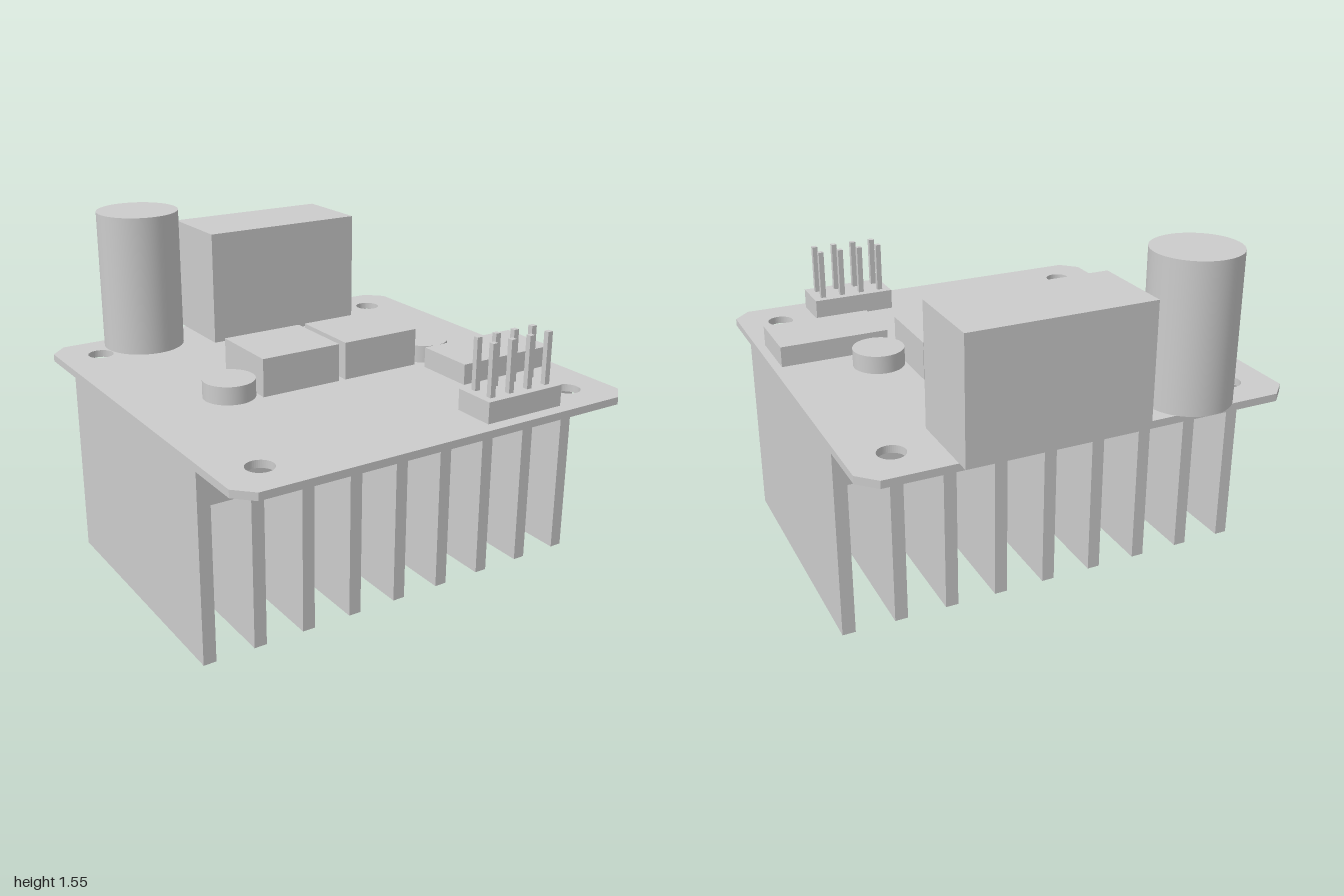
import * as THREE from 'three';

export function createModel() {
  const model = new THREE.Group();
  model.name = 'powerBoard';
  const grey = new THREE.MeshStandardMaterial({ color: 0xcccccc });
  grey.name = 'plainGrey';

  const BOARD_BOTTOM = 0.858, BOARD_TOP = 0.892;

  const add = (name, geometry, parent = model) => {
    const mesh = new THREE.Mesh(geometry, grey);
    mesh.name = name;
    parent.add(mesh);
    return mesh;
  };
  // Box given by its limits on each axis
  const box = (name, x0, x1, y0, y1, z0, z1, parent) =>
    add(name, new THREE.BoxGeometry(x1 - x0, y1 - y0, z1 - z0), parent)
      .position.set((x0 + x1) / 2, (y0 + y1) / 2, (z0 + z1) / 2);
  // Upright cylinder standing on the board
  const can = (name, x, z, r, top) =>
    add(name, new THREE.CylinderGeometry(r, r, top - BOARD_TOP, 48))
      .position.set(x, (BOARD_TOP + top) / 2, z);

  // Circuit board: chamfered outline with four mounting holes (shape y = -z)
  const W = 0.971, F = -1, B = 0.942, C = 0.078;
  const outline = new THREE.Shape([
    [-W + C, F], [W - C, F], [W, F + C], [W, B - C],
    [W - C, B], [-W + C, B], [-W, B - C], [-W, F + C],
  ].map(([x, y]) => new THREE.Vector2(x, y)));
  for (const x of [-0.777, 0.777]) {
    for (const y of [-0.805, 0.748]) {
      outline.holes.push(new THREE.Path().absarc(x, y, 0.06, 0, Math.PI * 2, true));
    }
  }
  const board = new THREE.ExtrudeGeometry(outline, {
    depth: BOARD_TOP - BOARD_BOTTOM, bevelEnabled: false, curveSegments: 24,
  });
  board.rotateX(-Math.PI / 2);
  add('circuitBoard', board).position.y = BOARD_BOTTOM;

  // Heat sink: one comb-shaped section, extruded front to back
  const FINS = 9, FIN = 0.058, HW = 0.969, BASE = 0.702;
  const pitch = (2 * HW - FIN) / (FINS - 1);
  const comb = new THREE.Shape();
  comb.moveTo(HW, BOARD_BOTTOM);
  comb.lineTo(-HW, BOARD_BOTTOM);
  for (let i = 0; i < FINS; i++) {
    const x = -HW + i * pitch;
    if (i > 0) comb.lineTo(x, BASE);
    comb.lineTo(x, 0);
    comb.lineTo(x + FIN, 0);
    if (i < FINS - 1) comb.lineTo(x + FIN, BASE);
  }
  comb.closePath();
  add('heatSink', new THREE.ExtrudeGeometry(comb, { depth: 1.242, bevelEnabled: false }))
    .position.z = -0.591;

  // Tall parts along the back edge
  can('tallCapacitor', -0.524, -0.806, 0.194, 1.553);
  box('largeBlock', -0.231, 0.58, BOARD_TOP, 1.436, -1, -0.611);

  // Pair of chips with a round capacitor on either side
  box('rightChip', -0.406, -0.017, BOARD_TOP, 1.066, -0.165, 0.182);
  box('leftChip', 0.017, 0.406, BOARD_TOP, 1.066, -0.165, 0.182);
  can('rightSmallCapacitor', -0.523, 0.086, 0.117, 0.974);
  can('leftSmallCapacitor', 0.523, 0.086, 0.117, 0.974);

  // Low block near the left edge
  box('lowBlock', 0.425, 0.93, BOARD_TOP, 0.987, 0.234, 0.523);

  // Pin header: two rows of four square pins
  const header = new THREE.Group();
  header.name = 'pinHeader';
  model.add(header);
  box('headerBase', 0.212, 0.607, BOARD_TOP, 0.987, 0.748, 0.942, header);
  const P = 0.0125;
  for (let i = 0; i < 4; i++) {
    const x = 0.26 + i * 0.0987;
    for (const z of [0.796, 0.894]) {
      box('headerPin', x - P, x + P, 0.987, 1.22, z - P, z + P, header);
    }
  }
  return model;
}
